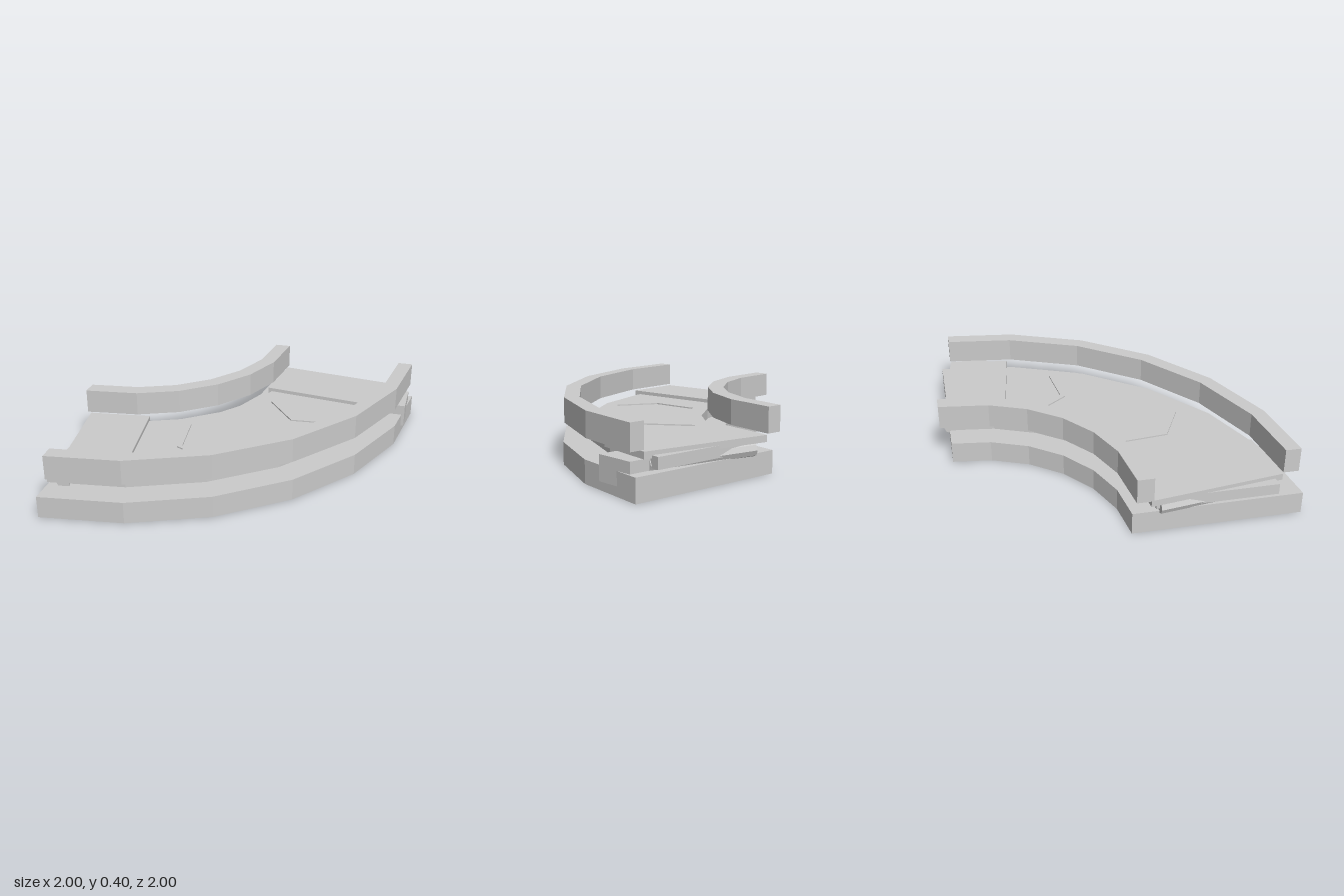
import * as THREE from 'three';

const CENTRE = -0.94; // arc centre on both x and z
const STEP = Math.PI / 12;
const material = new THREE.MeshStandardMaterial({ color: 0xcccccc, flatShading: true });

// Point on the arc; angle runs from +z towards +x
function polar(r, a) {
  return [CENTRE + r * Math.sin(a), CENTRE + r * Math.cos(a)];
}

function mesh(name, geometry) {
  const m = new THREE.Mesh(geometry, material);
  m.name = name;
  return m;
}

// Extrudes a plan outline of [x, z] points from y0 to y1
function slab(name, points, y0, y1) {
  const shape = new THREE.Shape(points.map(([x, z]) => new THREE.Vector2(x, -z)));
  const geometry = new THREE.ExtrudeGeometry(shape, { depth: y1 - y0, bevelEnabled: false });
  geometry.rotateX(-Math.PI / 2);
  geometry.translate(0, y0, 0);
  return mesh(name, geometry);
}

// Faceted quarter arc; both end chords are cut at distance `cut` from the arc centre's axes
function arcLine(r, cut) {
  const points = [];
  for (let i = 1; i < 6; i++) points.push(polar(r, i * STEP));
  const end = r * Math.cos(STEP) + (r * Math.sin(STEP) - cut) * Math.tan(STEP / 2);
  points.unshift([CENTRE + cut, CENTRE + end]);
  points.push([CENTRE + end, CENTRE + cut]);
  return points;
}

function arcSlab(name, rIn, rOut, y0, y1, cut = 0) {
  return slab(name, [...arcLine(rIn, cut), ...arcLine(rOut, cut).reverse()], y0, y1);
}

// Chevron marker with its apex pointing along the direction of travel
function chevron(angle) {
  const width = 0.022;
  const line = [[1.17, angle + 0.09], [1.45, angle], [1.68, angle + 0.1]];
  const front = line.map(([r, a]) => polar(r, a));
  const back = line.map(([r, a]) => polar(r, a + width)).reverse();
  return slab('directionChevron', [...front, ...back], 0.21, 0.225);
}

// Transfer plate and roller across one end of the curve
function endUnit(angle, side) {
  const group = new THREE.Group();
  group.name = side < 0 ? 'firstEnd' : 'secondEnd';
  group.position.set(CENTRE, 0, CENTRE);
  group.rotation.y = angle;

  const plate = mesh('transferPlate', new THREE.BoxGeometry(0.39, 0.04, 0.806));
  plate.position.set(-side * 0.018, 0.22, 1.419);

  const roller = mesh('endRoller', new THREE.CylinderGeometry(0.042, 0.042, 0.7, 8));
  roller.rotation.x = Math.PI / 2;
  roller.position.set(side * 0.135, 0.16, 1.43);

  group.add(plate, roller);
  return group;
}

export function createModel() {
  const model = new THREE.Group();
  model.name = 'curvedConveyor';

  // Layers of the bend
  model.add(arcSlab('base', 0.933, 1.938, 0, 0.135));
  model.add(arcSlab('belt', 1.07, 1.79, 0.15, 0.217));
  model.add(arcSlab('innerRail', 0.935, 1.032, 0.25, 0.4, -0.06));
  model.add(arcSlab('outerRail', 1.838, 1.93, 0.25, 0.4, 0.06));

  // Belt markers
  for (const degrees of [26, 58]) model.add(chevron(THREE.MathUtils.degToRad(degrees)));

  // Ends
  model.add(endUnit(STEP / 2, -1));
  model.add(endUnit(Math.PI / 2 - STEP / 2, 1));

  // Drive box with its side bracket
  const box = mesh('driveBox', new THREE.BoxGeometry(0.135, 0.065, 0.25));
  box.position.set(0.9075, 0.1675, -0.745);
  const bracket = mesh('driveBracket', new THREE.BoxGeometry(0.02, 0.145, 0.25));
  bracket.position.set(0.965, 0.1275, -0.745);
  model.add(box, bracket);

  return model;
}
